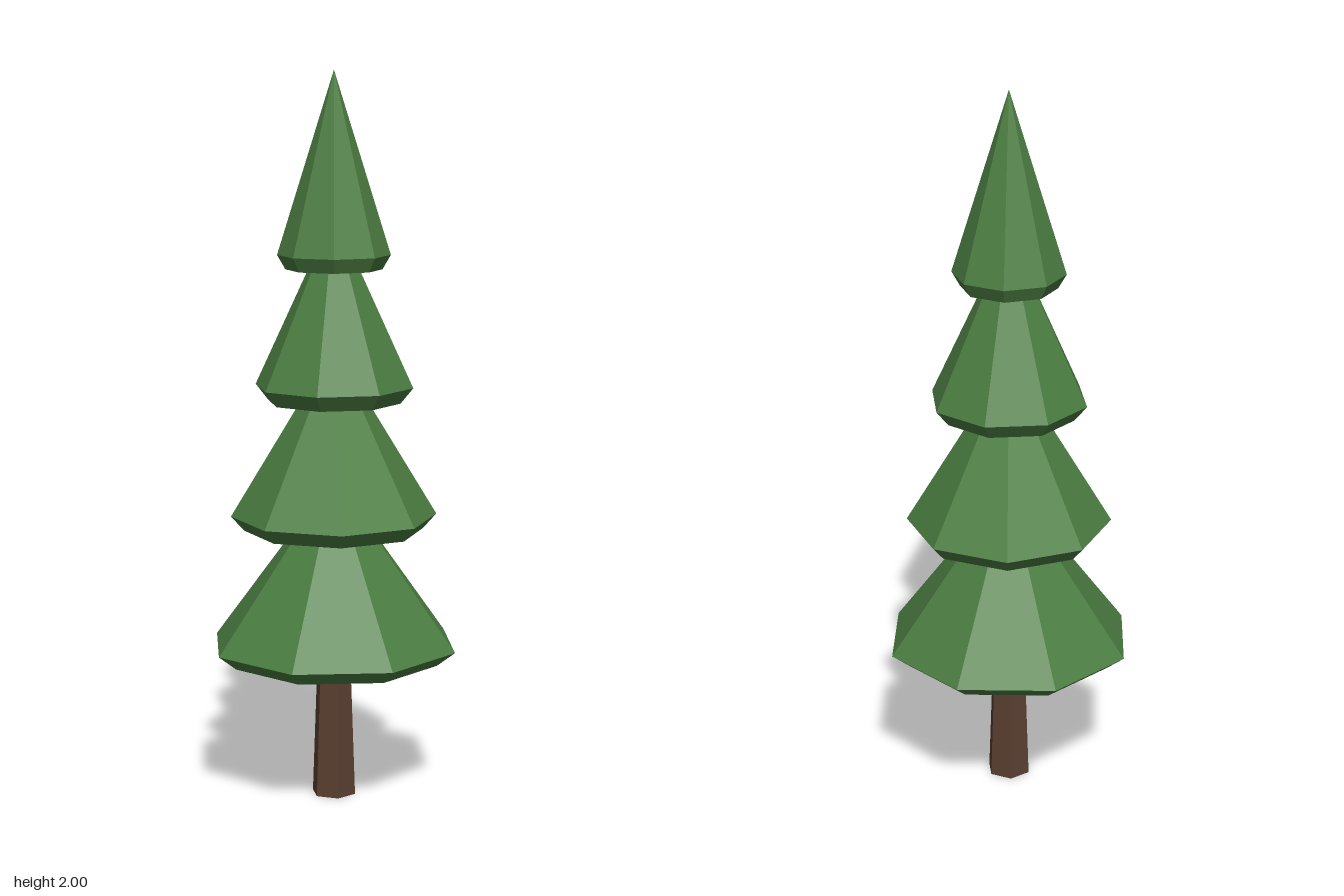
import * as THREE from 'three';

const needleGreen = new THREE.MeshStandardMaterial({ color: 0x4c7f42, flatShading: true });
needleGreen.name = 'needleGreen';
const barkBrown = new THREE.MeshStandardMaterial({ color: 0x5a3f31, flatShading: true });
barkBrown.name = 'barkBrown';

// Each tier: underside height and radius, widest height and radius, tip height, twist in degrees
const TIERS = [
  { baseY: 0.39, baseR: 0.297, rimY: 0.43, rimR: 0.348, tipY: 0.9, twist: 30.8 },
  { baseY: 0.752, baseR: 0.247, rimY: 0.792, rimR: 0.283, tipY: 1.26, twist: 8.7 },
  { baseY: 1.107, baseR: 0.184, rimY: 1.15, rimR: 0.219, tipY: 1.62, twist: 37.7 },
  { baseY: 1.468, baseR: 0.131, rimY: 1.507, rimR: 0.1535, tipY: 2.0, twist: 4.4 },
];

// Eight-sided cone with a bevelled rim and a closed underside
function foliageTier({ baseY, baseR, rimY, rimR, tipY, twist }) {
  const profile = [[0, baseY], [baseR, baseY], [rimR, rimY], [0, tipY]]
    .map(([r, y]) => new THREE.Vector2(r, y));
  const geometry = new THREE.LatheGeometry(profile, 8, THREE.MathUtils.degToRad(twist));
  return new THREE.Mesh(geometry, needleGreen);
}

export function createModel() {
  const tree = new THREE.Group();
  tree.name = 'pineTree';

  // Tapered six-sided trunk, ending inside the lowest tier
  const trunkHeight = 0.45;
  const trunk = new THREE.Mesh(
    new THREE.CylinderGeometry(0.046, 0.0625, trunkHeight, 6, 1, false, Math.PI / 6),
    barkBrown
  );
  trunk.position.y = trunkHeight / 2;
  trunk.name = 'trunk';
  tree.add(trunk);

  // Stacked foliage, widest at the bottom
  TIERS.forEach((tier, i) => {
    const mesh = foliageTier(tier);
    mesh.name = `foliageTier${i + 1}`;
    tree.add(mesh);
  });

  return tree;
}
